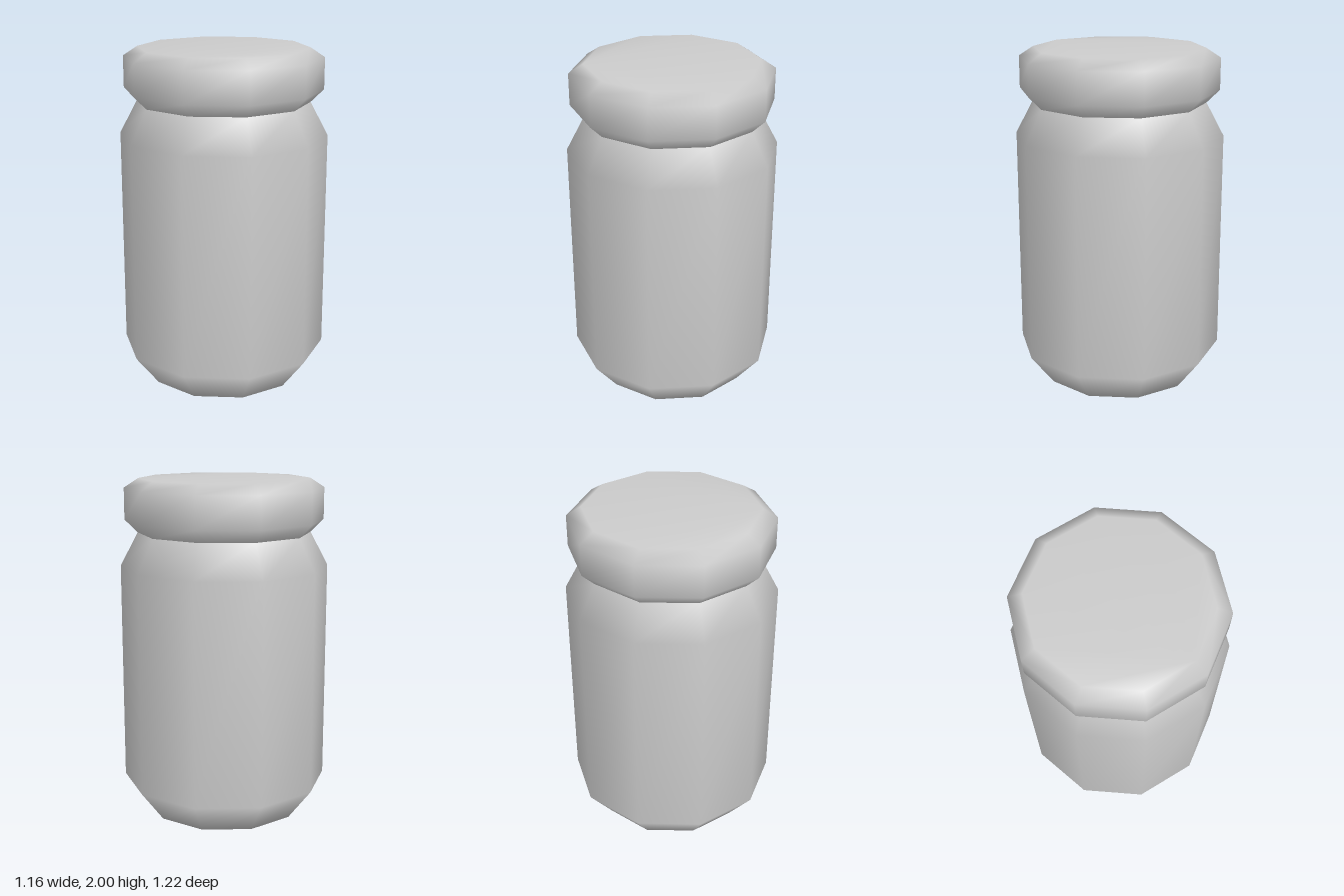
import * as THREE from 'three';

const SIDES = 10;

// Smooth ten-sided solid from [radius, height] rings, listed bottom to top.
function ringSolid(rings, capBottom, capTop) {
  const positions = [];
  const index = [];
  for (const [radius, y] of rings) {
    for (let i = 0; i < SIDES; i++) {
      const a = (i / SIDES) * Math.PI * 2;
      positions.push(Math.sin(a) * radius, y, Math.cos(a) * radius);
    }
  }
  // Side walls
  for (let r = 0; r < rings.length - 1; r++) {
    for (let i = 0; i < SIDES; i++) {
      const a = r * SIDES + i;
      const b = r * SIDES + ((i + 1) % SIDES);
      index.push(a, b, b + SIDES, a, b + SIDES, a + SIDES);
    }
  }
  // End caps share the rim vertices, so shading rolls over the edge
  const top = (rings.length - 1) * SIDES;
  for (let i = 1; i < SIDES - 1; i++) {
    if (capBottom) index.push(0, i + 1, i);
    if (capTop) index.push(top, top + i, top + i + 1);
  }
  const geometry = new THREE.BufferGeometry();
  geometry.setAttribute('position', new THREE.Float32BufferAttribute(positions, 3));
  geometry.setIndex(index);
  geometry.computeVertexNormals();
  return geometry;
}

export function createModel() {
  const group = new THREE.Group();
  group.name = 'jar';

  const grey = new THREE.MeshStandardMaterial({ color: 0xcccccc });
  grey.name = 'light grey';
  grey.side = THREE.DoubleSide;

  // Body: bevelled foot, straight wall, sloping shoulder
  const body = new THREE.Mesh(
    ringSolid([[0.465, 0], [0.612, 0.19], [0.612, 1.49], [0.508, 1.685]], true, false),
    grey
  );
  body.name = 'jarBody';

  // Lid: flared underside, straight rim, bevelled top
  const lid = new THREE.Mesh(
    ringSolid([[0.508, 1.685], [0.584, 1.76], [0.584, 1.945], [0.5, 2]], false, true),
    grey
  );
  lid.name = 'lid';

  group.add(body, lid);
  return group;
}
